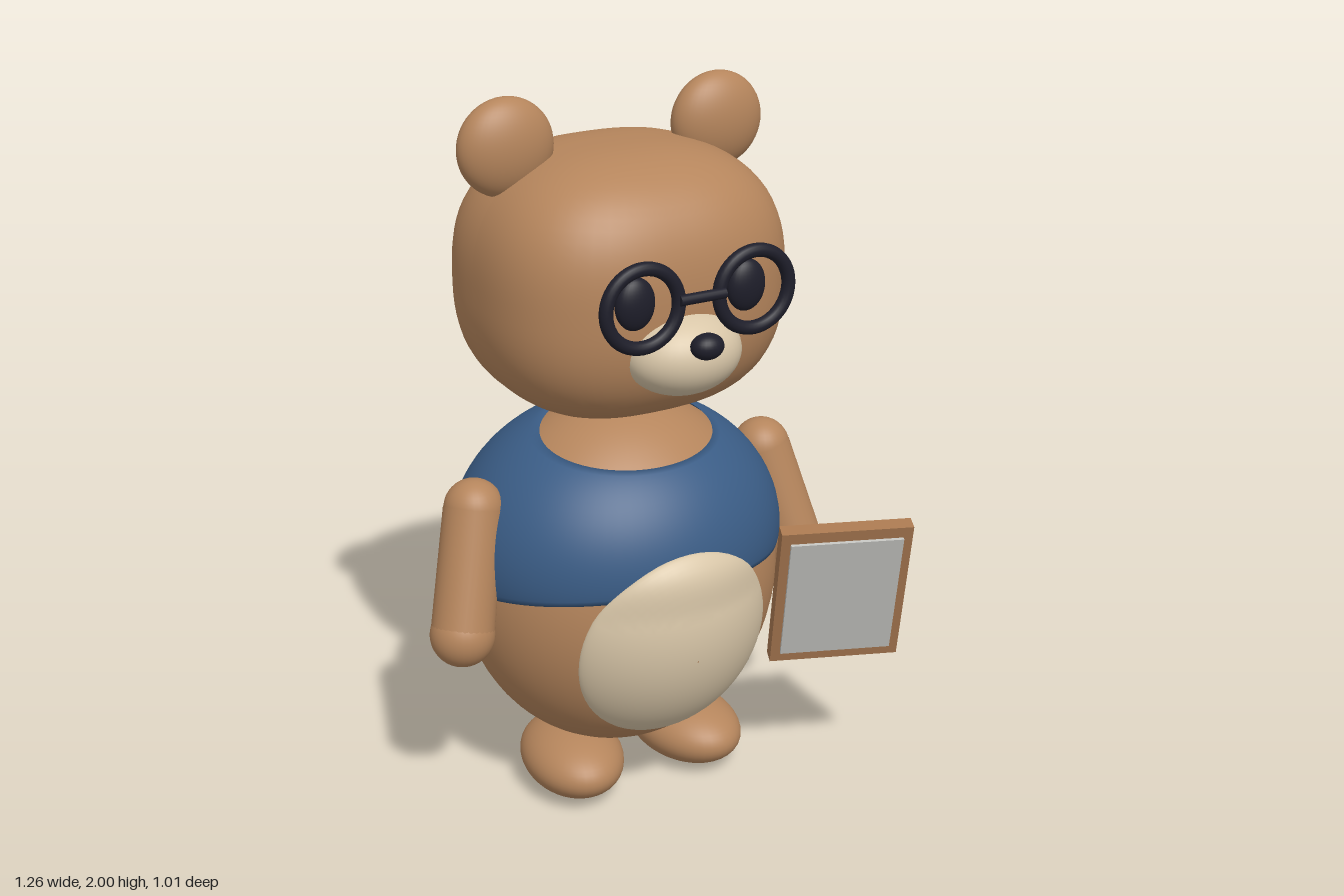
import * as THREE from 'three';
import { ParametricGeometry } from 'three/addons/geometries/ParametricGeometry.js';

const mat = (name, color, side = THREE.FrontSide) => {
  const m = new THREE.MeshStandardMaterial({ color, side });
  m.name = name;
  return m;
};

export function createModel() {
  const fur = mat('brown fur', 0xb5855c);
  const cream = mat('cream', 0xd8c6a8, THREE.DoubleSide);
  const blue = mat('blue cloth', 0x3a5c85, THREE.DoubleSide);
  const dark = mat('dark navy', 0x1e1e2a);
  const wood = mat('wood', 0xa87850);
  const slateGrey = mat('light grey', 0xc2c2be);

  const model = new THREE.Group();
  model.name = 'bear';
  const bear = new THREE.Group();
  bear.name = 'figure';
  bear.position.x = -0.013;
  model.add(bear);

  const add = (name, geometry, material, x = 0, y = 0, z = 0, parent = bear) => {
    const mesh = new THREE.Mesh(geometry, material);
    mesh.name = name;
    mesh.position.set(x, y, z);
    parent.add(mesh);
    return mesh;
  };
  const ellipsoid = (rx, ry, rz, detail = 40) =>
    new THREE.SphereGeometry(1, detail, Math.round(detail * 0.7)).scale(rx, ry, rz);

  // Torso
  const B = { y: 0.63, z: -0.07, rx: 0.46, ry: 0.51, rz: 0.4 };
  add('body', ellipsoid(B.rx, B.ry, B.rz, 56), fur, 0, B.y, B.z);

  // Shirt: a band puffed out from the torso, lower and fuller at the back
  const shirtPoint = (u, v, target) => {
    const s = Math.sin(u * Math.PI * 2), c = Math.cos(u * Math.PI * 2);
    const low = 0.66 + 0.06 * c, high = 1.068 - 0.042 * c;
    const y = THREE.MathUtils.lerp(low, high, v);
    const h = (y - B.y) / B.ry;
    const ring = Math.sqrt(1 - h * h);
    const puff = 0.003 + Math.pow(Math.max(0, Math.sin(Math.PI * v)), 0.7) * (0.035 - 0.015 * c);
    const n = new THREE.Vector3(ring * s / B.rx, h / B.ry, ring * c / B.rz).normalize();
    target.set(B.rx * ring * s, y, B.z + B.rz * ring * c).addScaledVector(n, puff);
  };
  add('shirt', new ParametricGeometry(shirtPoint, 72, 24), blue);

  // Tummy patch: an oval dome laid over the torso
  const tummyPoint = (u, v, target) => {
    const t = (0.005 + 0.995 * u) * Math.PI / 2, a = v * Math.PI * 2;
    const x = 0.285 * Math.sin(t) * Math.cos(a);
    const y = 0.535 + 0.295 * Math.sin(t) * Math.sin(a);
    const front = Math.sqrt(Math.max(0, 1 - (x / B.rx) ** 2 - ((y - B.y) / B.ry) ** 2));
    const overShirt = 0.026 * THREE.MathUtils.smoothstep(y, 0.66, 0.8);
    target.set(x, y, B.z + B.rz * front + 0.003 + overShirt + 0.055 * Math.cos(t));
  };
  add('tummy', new ParametricGeometry(tummyPoint, 16, 56), cream);

  // Head: a sphere squared off by a superellipsoid rule
  const headGeometry = new THREE.SphereGeometry(1, 64, 44);
  const p = headGeometry.attributes.position, power = 2.65;
  for (let i = 0; i < p.count; i++) {
    const v = new THREE.Vector3().fromBufferAttribute(p, i);
    const sum = Math.abs(v.x) ** power + Math.abs(v.y) ** power + Math.abs(v.z) ** power;
    v.multiplyScalar(sum ** (-1 / power));
    p.setXYZ(i, v.x * 0.425, v.y * 0.36, v.z * 0.375);
  }
  headGeometry.computeVertexNormals();
  add('head', headGeometry, fur, 0, 1.5, -0.065);

  // Face
  add('muzzle', ellipsoid(0.16, 0.11, 0.125), cream, 0, 1.385, 0.28);
  add('nose', ellipsoid(0.045, 0.034, 0.036, 24), dark, 0, 1.438, 0.403);
  const bridge = add('glassesBridge', new THREE.CylinderGeometry(0.014, 0.014, 0.13, 16), dark, 0, 1.56, 0.376);
  bridge.rotation.z = Math.PI / 2;

  // Limb segment between two points
  const shaft = (name, a, b, ra, rb) => {
    const d = b.clone().sub(a);
    const mesh = add(name, new THREE.CylinderGeometry(rb, ra, d.length(), 32, 1, true), fur);
    mesh.position.copy(a).addScaledVector(d, 0.5);
    mesh.quaternion.setFromUnitVectors(new THREE.Vector3(0, 1, 0), d.normalize());
  };

  // Mirrored parts
  for (const [side, s] of [['left', 1], ['right', -1]]) {
    add(side + 'Ear', ellipsoid(0.133, 0.13, 0.071), fur, s * 0.31, 1.87, -0.09);
    add(side + 'Eye', ellipsoid(0.055, 0.069, 0.03, 28), dark, s * 0.16, 1.55, 0.32);
    add(side + 'GlassesRim', new THREE.TorusGeometry(0.102, 0.018, 16, 48), dark, s * 0.16, 1.55, 0.36);

    const shoulder = new THREE.Vector3(s * 0.45, 0.915, -0.045);
    const hand = new THREE.Vector3(s * 0.53, 0.592, 0.035);
    add(side + 'Shoulder', ellipsoid(0.081, 0.081, 0.081, 32), fur, ...shoulder.toArray());
    add(side + 'Hand', ellipsoid(0.088, 0.088, 0.088, 32), fur, ...hand.toArray());
    shaft(side + 'Arm', shoulder, hand, 0.082, 0.086);

    const foot = add(side + 'Foot', ellipsoid(0.142, 0.095, 0.198), fur, s * 0.185, 0.1, -0.01);
    foot.rotation.y = s * 0.15;
  }

  // Framed slate, leaning forward and turned inwards
  const slate = new THREE.Group();
  slate.name = 'slate';
  slate.position.set(0.436, 0.635, 0.375);
  slate.rotation.set(0.24, -0.353, 0, 'YXZ');
  model.add(slate);
  add('slateFrame', new THREE.BoxGeometry(0.362, 0.452, 0.04), wood, 0, 0, 0, slate);
  add('slateFace', new THREE.BoxGeometry(0.31, 0.385, 0.009), slateGrey, 0, 0, 0.0245, slate);

  return model;
}
